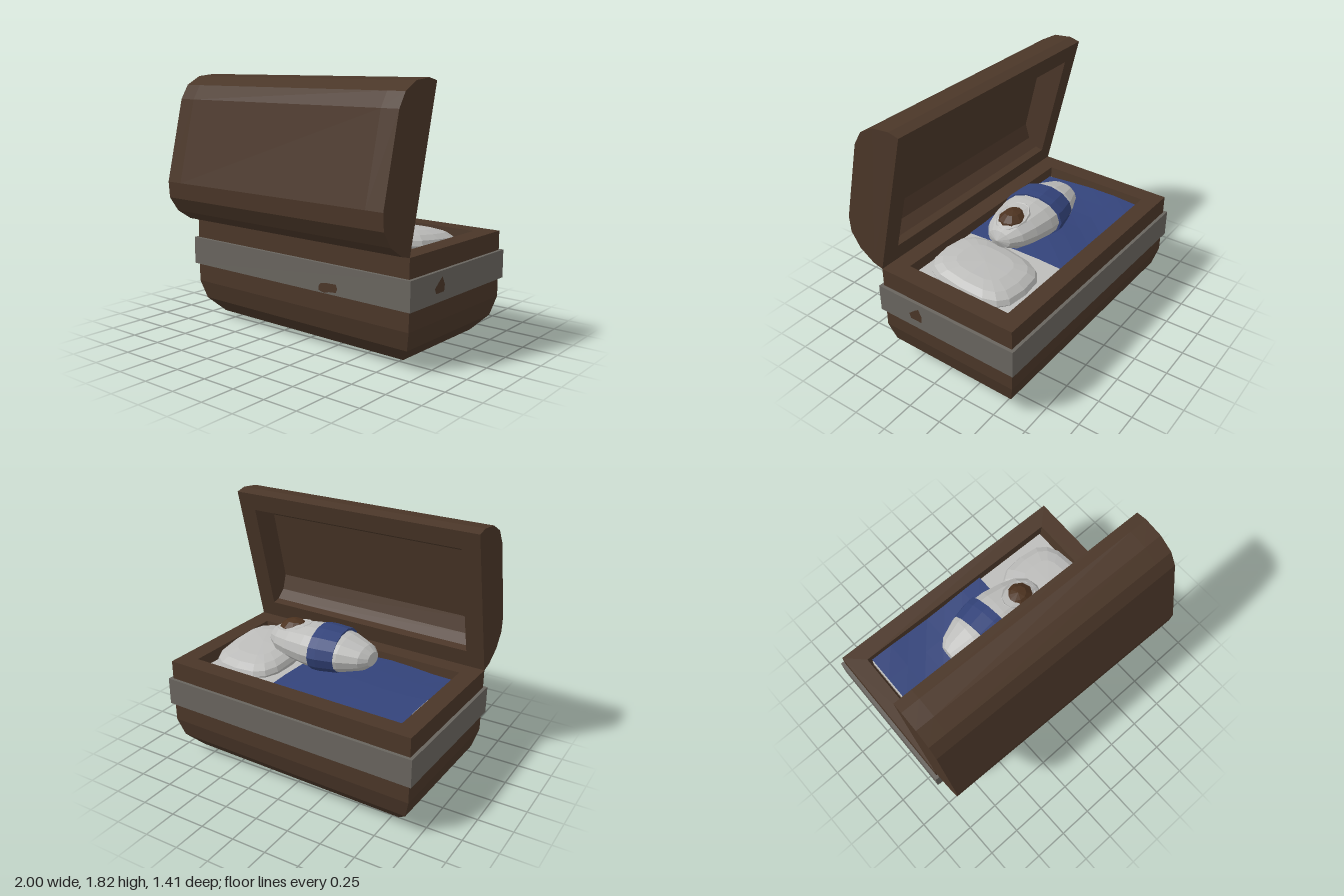
import * as THREE from 'three';

const mat = (name, color, extra = {}) => {
  const m = new THREE.MeshStandardMaterial({ color, flatShading: true, ...extra });
  m.name = name;
  return m;
};

// Flat-sided loft through rectangular rings [halfX, halfZ, y], with both ends closed
function rectLoft(rings) {
  const pos = [];
  const corners = ([x, z, y]) => [[-x, y, z], [x, y, z], [x, y, -z], [-x, y, -z]];
  const quad = (a, b, c, d) => pos.push(...a, ...b, ...c, ...a, ...c, ...d);
  const first = corners(rings[0]), last = corners(rings[rings.length - 1]);
  quad(first[3], first[2], first[1], first[0]);
  for (let i = 0; i < rings.length - 1; i++) {
    const lo = corners(rings[i]), hi = corners(rings[i + 1]);
    for (let k = 0; k < 4; k++) {
      const n = (k + 1) % 4;
      quad(lo[k], lo[n], hi[n], hi[k]);
    }
  }
  quad(...last);
  const g = new THREE.BufferGeometry();
  g.setAttribute('position', new THREE.Float32BufferAttribute(pos, 3));
  g.computeVertexNormals();
  return g;
}

const shapeOf = pts => new THREE.Shape(pts.map(p => new THREE.Vector2(...p)));

export function createModel() {
  const wood = mat('dark wood', 0x4a3628);
  const metal = mat('grey metal', 0x68645e);
  const cloth = mat('pale cloth', 0xbcbcba);
  const blue = mat('blue cloth', 0x33437a, { side: THREE.DoubleSide });
  const brown = mat('brown hair', 0x4c321f);

  const model = new THREE.Group();
  model.name = 'chestBed';
  const add = (name, geo, material, parent = model) => {
    const m = new THREE.Mesh(geo, material);
    m.name = name;
    parent.add(m);
    return m;
  };

  // Hollow base: chamfered bottom, straight walls, rim, inner walls and floor
  add('base', rectLoft([
    [0.71, 0.29, 0], [0.83, 0.405, 0.04], [0.925, 0.5, 0.145], [0.962, 0.537, 0.28],
    [0.962, 0.537, 0.75], [0.83, 0.41, 0.75], [0.81, 0.4, 0.62],
  ]), wood);

  // Band around the base
  add('band', new THREE.BoxGeometry(1.972, 0.2, 1.12).translate(0, 0.515, 0), metal);

  // Worn patches on the band
  add('frontPatch', new THREE.ShapeGeometry(shapeOf([
    [0.25, 0.43], [0.3, 0.418], [0.34, 0.43], [0.4, 0.435], [0.413, 0.46],
    [0.4, 0.49], [0.33, 0.488], [0.27, 0.48], [0.25, 0.455],
  ])), wood).position.z = 0.561;
  const sidePatch = add('sidePatch', new THREE.ShapeGeometry(shapeOf([
    [-0.295, 0.51], [-0.28, 0.475], [-0.19, 0.475], [-0.183, 0.52], [-0.21, 0.575], [-0.235, 0.56],
  ])), wood);
  sidePatch.rotation.y = Math.PI / 2;
  sidePatch.position.x = 0.987;

  // Open lid: solid ends and a hollow middle, hinged on the front rim
  const lid = new THREE.Group();
  lid.name = 'lid';
  const tilt = 0.238, span = 1.08;
  const u = new THREE.Vector3(0, Math.cos(tilt), -Math.sin(tilt));
  const v = new THREE.Vector3(0, Math.sin(tilt), Math.cos(tilt));
  lid.quaternion.setFromRotationMatrix(
    new THREE.Matrix4().makeBasis(u, v, new THREE.Vector3(1, 0, 0)));
  lid.position.set(0, 0.75, 0.537);
  model.add(lid);
  const mirror = half => [...half, ...half.map(([a, b]) => [span - a, b]).reverse()];
  const outer = mirror([[0, 0], [0, 0.08], [0.045, 0.207], [0.13, 0.3], [0.24, 0.335]]);
  const inner = mirror([[0.13, 0], [0.13, 0.06], [0.17, 0.14], [0.27, 0.2]]);
  const slab = (name, pts, x, depth) => {
    const g = new THREE.ExtrudeGeometry(shapeOf(pts), { depth, bevelEnabled: false });
    add(name, g, wood, lid).position.z = x;
  };
  slab('lidRightEnd', outer, -0.962, 0.132);
  slab('lidLeftEnd', outer, 0.83, 0.132);
  slab('lidShell', [...outer, ...inner.reverse()], -0.83, 1.66);

  // Mattress
  add('mattress', new THREE.BoxGeometry(1.61, 0.06, 0.8).translate(0, 0.65, 0), cloth);

  // Gently rumpled blanket
  const sheet = new THREE.PlaneGeometry(1.01, 0.81, 6, 4).rotateX(-Math.PI / 2);
  const sp = sheet.attributes.position;
  for (let i = 0; i < sp.count; i++) {
    const x = sp.getX(i), z = sp.getZ(i);
    sp.setY(i, 0.012 * Math.sin(x * 7 + z * 4) + 0.02 * Math.cos(z * 3.5));
  }
  add('blanket', sheet, blue).position.set(-0.295, 0.69, 0);

  // Pillow: sphere squared off towards a cushion
  const cushion = new THREE.SphereGeometry(1, 16, 8);
  const cp = cushion.attributes.position;
  const square = t => Math.sign(t) * Math.pow(Math.abs(t), 0.65);
  for (let i = 0; i < cp.count; i++) {
    cp.setXYZ(i, square(cp.getX(i)) * 0.275, cp.getY(i) * 0.09, square(cp.getZ(i)) * 0.345);
  }
  const pillow = add('pillow', cushion, cloth);
  pillow.position.set(0.55, 0.72, 0);
  pillow.rotation.x = -0.1;

  // Swaddled sleeper lying along the bed
  const sleeper = new THREE.Group();
  sleeper.name = 'sleeper';
  sleeper.position.set(0, 0.91, -0.015);
  model.add(sleeper);
  const lathe = pts => new THREE.LatheGeometry(pts.map(p => new THREE.Vector2(...p)), 14)
    .rotateZ(-Math.PI / 2).scale(1, 0.69, 1);
  add('wrap', lathe([
    [0, -0.385], [0.07, -0.385], [0.125, -0.335], [0.185, -0.2], [0.212, -0.05],
    [0.21, 0.08], [0.185, 0.22], [0.15, 0.33], [0.09, 0.405], [0, 0.435],
  ]), cloth, sleeper);

  // Slanted sash around the wrap
  const sash = add('sash', lathe([
    [0.19, -0.155], [0.212, -0.155], [0.228, -0.03], [0.226, 0.03], [0.2, 0.03],
  ]), blue, sleeper);
  sash.rotation.y = 0.12;

  // Head showing through the hood, with a raised hood edge
  const head = add('head', new THREE.SphereGeometry(1, 10, 6), brown, sleeper);
  head.scale.set(0.125, 0.1, 0.105);
  head.position.set(0.25, 0.05, 0);
  const hood = add('hoodEdge', new THREE.TorusGeometry(1, 0.12, 5, 12).rotateX(Math.PI / 2), cloth, sleeper);
  hood.scale.set(0.13, 0.15, 0.1);
  hood.position.set(0.25, 0.09, 0);
  hood.rotation.z = -0.25;

  model.rotation.y = -0.025;
  model.position.z = -0.12;
  const root = new THREE.Group();
  root.name = 'model';
  root.add(model);
  return root;
}
